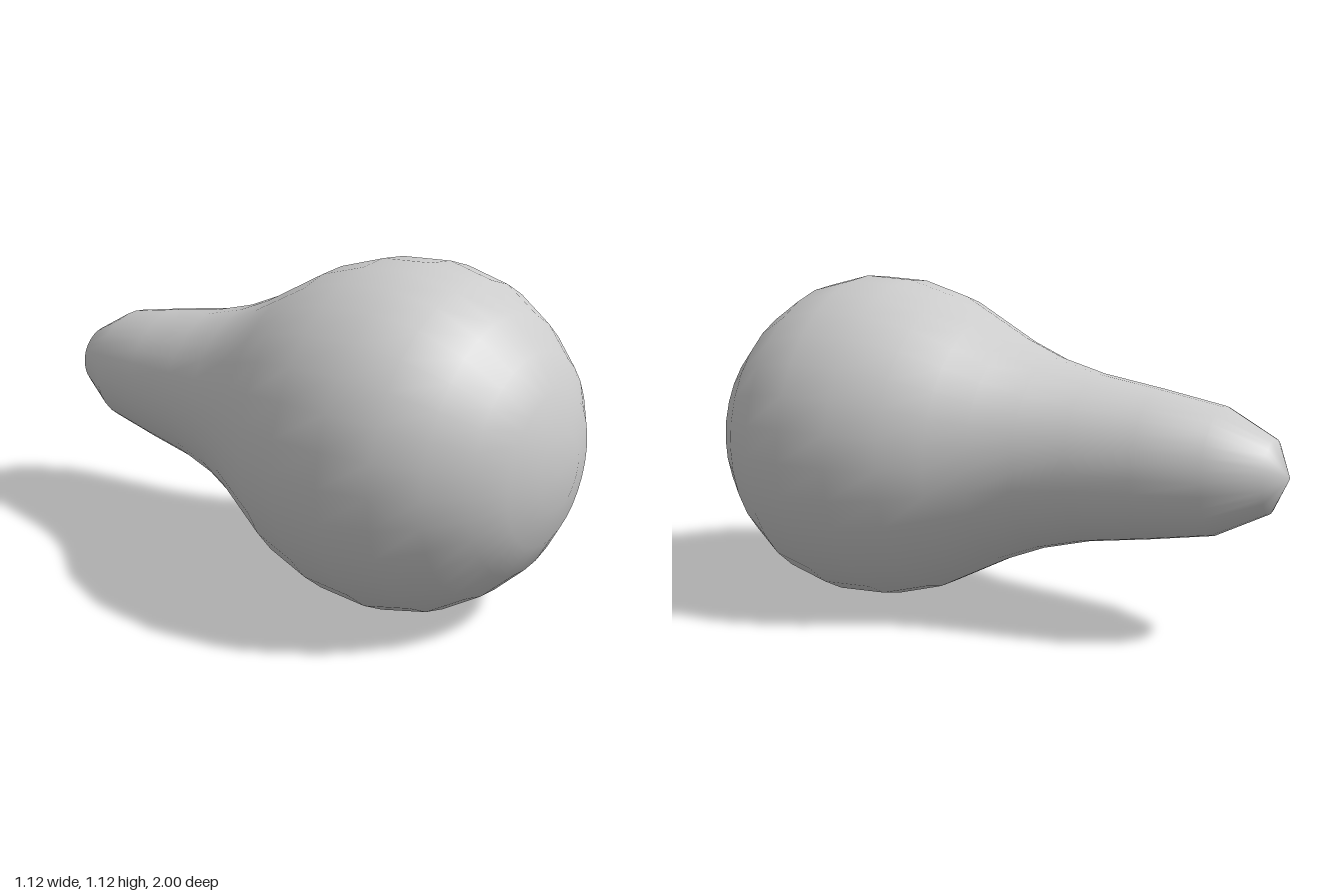
import * as THREE from 'three';
import { mergeVertices } from 'three/addons/utils/BufferGeometryUtils.js';

export function createModel() {
  const group = new THREE.Group();
  group.name = 'pearShape';

  // Profile from the narrow rear tip to the round front: [radius, z]
  const profile = [
    [0, -1], [0.118, -0.945], [0.205, -0.78], [0.243, -0.57], [0.277, -0.36],
    [0.32, -0.2], [0.376, -0.065], [0.437, 0.05], [0.506, 0.18], [0.554, 0.345],
    [0.5625, 0.52], [0.523, 0.675], [0.443, 0.8], [0.345, 0.9], [0.24, 0.96],
    [0.118, 0.995], [0, 1],
  ].map(([r, z]) => new THREE.Vector2(r, z));

  // Revolve, lay the axis along z, then weld seam and poles for smooth normals
  let geometry = new THREE.LatheGeometry(profile, 32);
  geometry.rotateX(Math.PI / 2);
  geometry.deleteAttribute('uv');
  geometry.deleteAttribute('normal');
  geometry = mergeVertices(geometry, 1e-4);
  geometry.computeVertexNormals();

  const body = new THREE.Mesh(geometry, new THREE.MeshStandardMaterial({ color: 0xcccccc }));
  body.name = 'body';
  body.position.y = 0.5625;
  group.add(body);
  return group;
}
